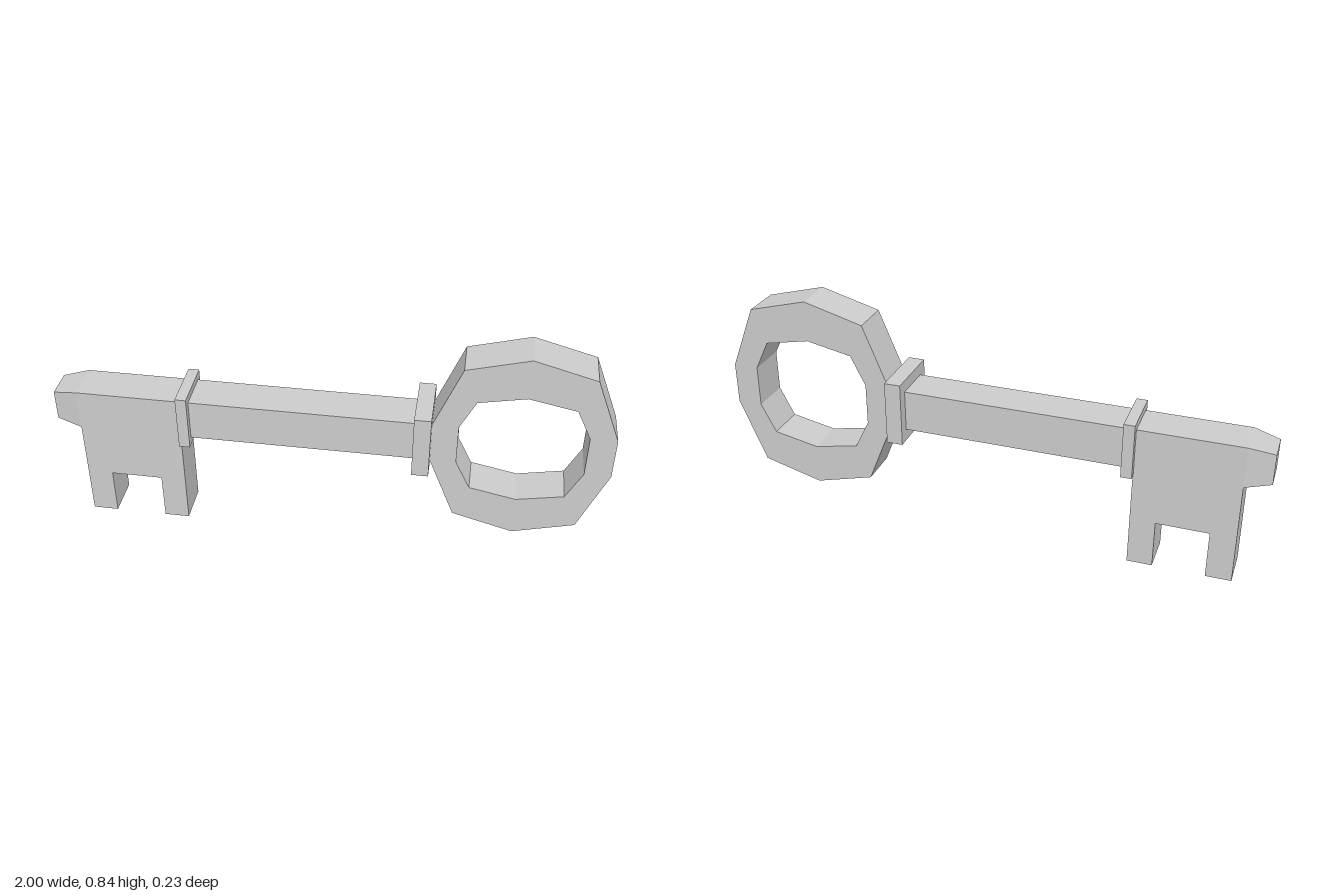
import * as THREE from 'three';

const DEPTH = 0.148;
const AXIS_Y = 0.4625;
const RING_X = 0.685;

const material = new THREE.MeshStandardMaterial({ color: 0xcccccc, flatShading: true });

function addPart(group, name, geometry) {
  const mesh = new THREE.Mesh(geometry, material);
  mesh.name = name;
  group.add(mesh);
  return mesh;
}

// Flat plate cut from a shape, centred on z = 0
function plate(shape) {
  return new THREE.ExtrudeGeometry(shape, { depth: DEPTH, bevelEnabled: false })
    .translate(0, 0, -DEPTH / 2);
}

// Ten-sided loop mirrored from its top, shoulder and side corner offsets
function ringLoop(top, [sx, sy], [ex, ey]) {
  return [
    [0, top], [-sx, sy], [-ex, ey], [-ex, -ey], [-sx, -sy],
    [0, -top], [sx, -sy], [ex, -ey], [ex, ey], [sx, sy],
  ].map(([x, y]) => new THREE.Vector2(RING_X + x, AXIS_Y + y));
}

export function createModel() {
  const key = new THREE.Group();
  key.name = 'key';

  // Handle ring
  const ring = new THREE.Shape(ringLoop(0.373, [0.22, 0.313], [0.315, 0.077]));
  ring.holes.push(new THREE.Path(ringLoop(0.22, [0.168, 0.186], [0.222, 0.077])));
  addPart(key, 'handleRing', plate(ring));

  // Shaft with the two-toothed bit below it
  const outline = [
    [-0.908, 0], [-0.815, 0], [-0.815, 0.18], [-0.625, 0.18], [-0.625, 0],
    [-0.533, 0], [-0.533, 0.386], [0.34, 0.386], [0.34, 0.539], [-0.908, 0.539],
  ].map(([x, y]) => new THREE.Vector2(x, y));
  addPart(key, 'shaftAndBit', plate(new THREE.Shape(outline)));

  // Tapered tip: the outer end of a box is narrowed
  const tip = new THREE.BoxGeometry(0.092, 0.153, DEPTH);
  const pos = tip.attributes.position;
  for (let i = 0; i < pos.count; i++) {
    if (pos.getX(i) < 0) pos.setXYZ(i, pos.getX(i), pos.getY(i) * 0.75, pos.getZ(i) * 0.75);
  }
  tip.computeVertexNormals();
  addPart(key, 'tip', tip).position.set(-0.954, AXIS_Y, 0);

  // Collars: name, centre x, width, height, depth
  for (const [name, x, w, h, d] of [
    ['handleCollar', 0.34, 0.06, 0.24, 0.228],
    ['bitCollar', -0.515, 0.04, 0.207, 0.198],
  ]) {
    addPart(key, name, new THREE.BoxGeometry(w, h, d)).position.set(x, AXIS_Y, 0);
  }

  return key;
}
